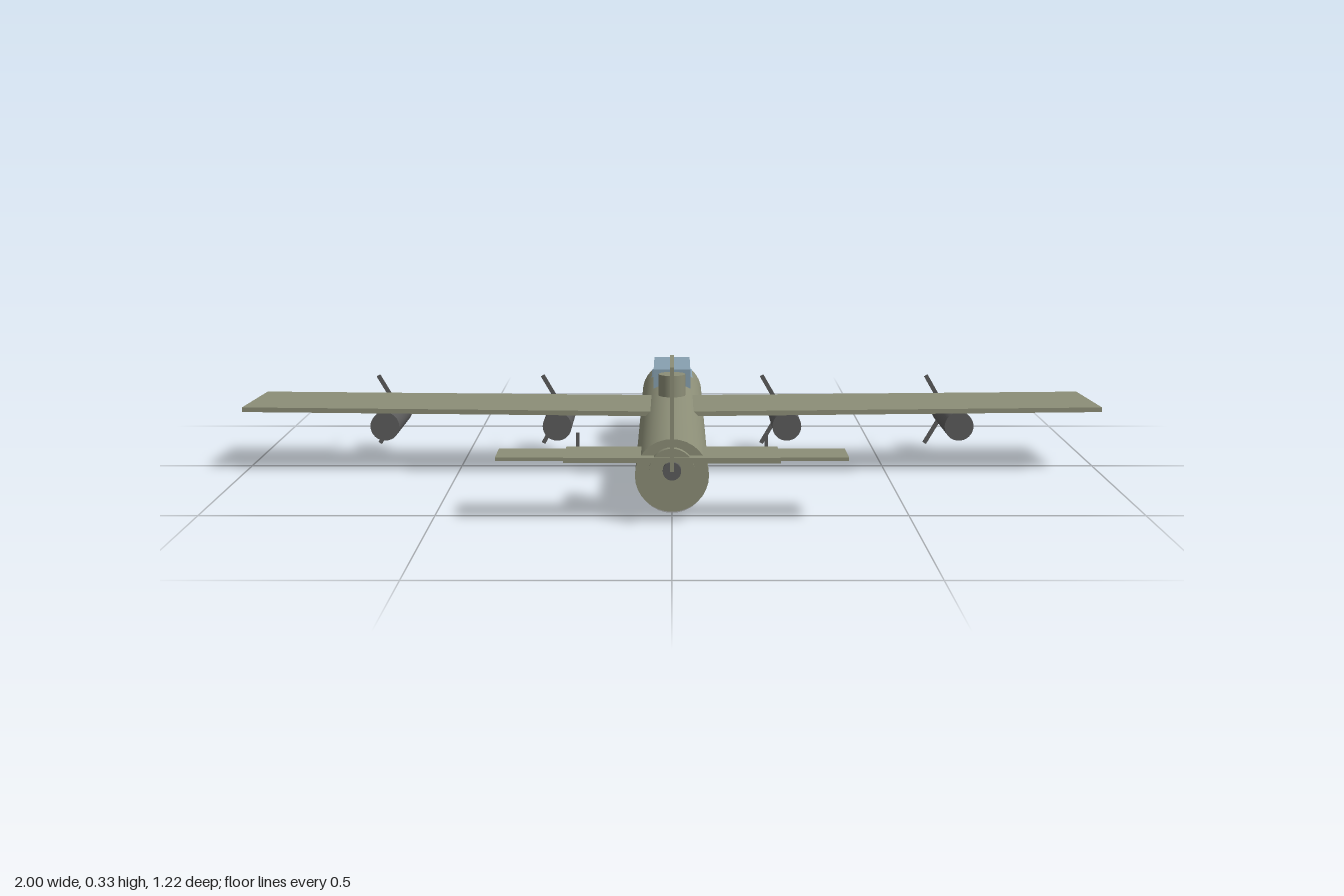
import * as THREE from 'three';

const mat = (name, color) => Object.assign(new THREE.MeshStandardMaterial({ color }), { name });

export function createModel() {
  const olive = mat('olive', 0x8c8e77);
  const glass = mat('glass blue', 0x87a0b0);
  const belly = mat('belly grey', 0xa6a6a6);
  const dark = mat('dark grey', 0x5c5c5c);

  const model = new THREE.Group();
  model.name = 'bomber';

  const add = (name, geometry, material, parent = model) => {
    const mesh = new THREE.Mesh(geometry, material);
    mesh.name = name;
    parent.add(mesh);
    return mesh;
  };
  // cylinder lying along z between z0 and z1
  const tube = (name, r, x, y, z0, z1, material, parent) =>
    add(name, new THREE.CylinderGeometry(r, r, z1 - z0, 32).rotateX(Math.PI / 2)
      .translate(x, y, (z0 + z1) / 2), material, parent);
  // box given by its lower and upper limits
  const box = (name, [x0, x1], [y0, y1], [z0, z1], material, parent) =>
    add(name, new THREE.BoxGeometry(x1 - x0, y1 - y0, z1 - z0)
      .translate((x0 + x1) / 2, (y0 + y1) / 2, (z0 + z1) / 2), material, parent);

  // Fuselage, belly, nose glazing and canopy
  tube('fuselage', 0.077, 0, 0.097, -0.485, 0.547, olive);
  tube('belly', 0.073, 0, 0.078, -0.43, 0.495, belly);
  tube('noseGlazing', 0.072, 0, 0.104, -0.488, -0.355, glass);
  box('canopy', [-0.045, 0.045], [0.16, 0.207], [-0.358, -0.155], glass);
  tube('noseGun', 0.004, 0, 0.085, -0.61, -0.48, dark);

  // Stepped tail end
  tube('tailTurret', 0.047, 0, 0.11, 0.54, 0.563, olive);
  tube('tailGun', 0.019, 0, 0.112, 0.55, 0.577, dark);

  // Upper and lower turrets
  add('upperTurret', new THREE.CylinderGeometry(0.031, 0.031, 0.05, 32)
    .translate(0, 0.207, 0.064), olive);
  add('lowerTurret', new THREE.CylinderGeometry(0.031, 0.031, 0.04, 32)
    .translate(0, 0.02, 0.064), dark);

  // Tail surfaces
  box('fin', [-0.004, 0.004], [0.118, 0.334], [0.445, 0.61], olive);
  box('innerTailplane', [-0.224, 0.224], [0.128, 0.139], [0.453, 0.57], olive);
  box('outerTailplane', [-0.366, 0.366], [0.13, 0.137], [0.465, 0.555], olive);

  for (const side of [1, -1]) {
    // Wing, swept slightly forward
    const outline = [[0, -0.087], [0.988, -0.139], [1, 0.078], [0, 0.133]]
      .map(([x, z]) => new THREE.Vector2(side * x, -z));
    const wing = new THREE.ExtrudeGeometry(new THREE.Shape(outline), { depth: 0.011, bevelEnabled: false });
    add(side > 0 ? 'leftWing' : 'rightWing', wing.rotateX(-Math.PI / 2).translate(0, 0.1445, 0), olive);

    // Engines with three-bladed propellers
    for (const x of [0.27, 0.675]) {
      const engine = new THREE.Group();
      engine.name = 'engine';
      engine.position.set(side * x, 0.103, 0);
      model.add(engine);
      tube('nacelle', 0.034, 0, 0, -0.18, 0.04, dark, engine);
      tube('propellerHub', 0.016, 0, 0, -0.196, -0.18, dark, engine);
      for (let i = 0; i < 3; i++) {
        const blade = box('propellerBlade', [0, 0.098], [-0.005, 0.005], [-0.188, -0.184], dark, engine);
        blade.rotation.z = i * Math.PI * 2 / 3;
      }
    }

    // Strut hanging beside the inner engine
    box('strut', [side * 0.224 - 0.004, side * 0.224 + 0.004], [0.008, 0.08], [-0.004, 0.004], dark);
  }
  return model;
}
